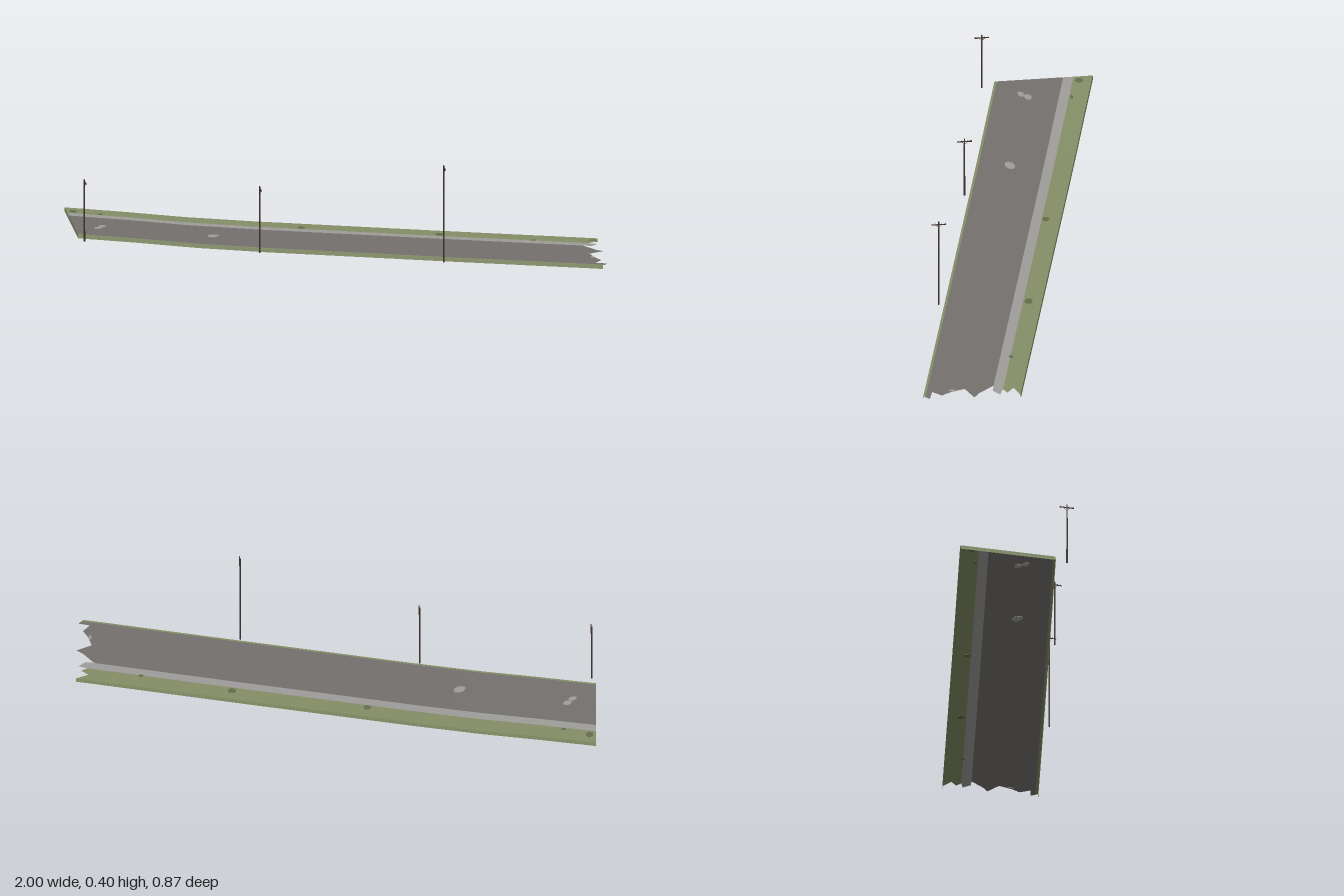
import * as THREE from 'three';

const mat = (name, color, side = THREE.FrontSide) => {
  const m = new THREE.MeshStandardMaterial({ color, side });
  m.name = name;
  return m;
};

// Road profile: [x, surface height], and plan layout of the slanting strip
const PROFILE = [[-1, 0.078], [-0.78, 0.067], [-0.55, 0.053], [-0.3, 0.044], [0, 0.037],
  [0.38, 0.028], [0.67, 0.022], [0.92, 0.017], [1, 0.015]];
const WIDTH = 0.38, SKIRT = 0.0145;
// Broken end: [position across the strip, x]
const TORN = [[0, 1], [0.09, 0.952], [0.14, 0.98], [0.195, 0.957], [0.21, 0.99], [0.295, 0.963],
  [0.3, 0.93], [0.43, 0.973], [0.47, 0.998], [0.59, 0.94], [0.71, 0.952], [0.81, 0.973],
  [0.92, 0.947], [0.925, 0.99], [0.975, 0.978], [1, 0.97]];

function lerpTable(table, t) {
  for (let i = 1; i < table.length; i++) {
    const [a, va] = table[i - 1], [b, vb] = table[i];
    if (t <= b) return va + (vb - va) * (t - a) / (b - a);
  }
  return table[table.length - 1][1];
}
const height = x => lerpTable(PROFILE, x);
const backEdge = x => -0.44 + 0.246 * (x + 1);
const point = (x, s, drop = 0) => [x, height(x) - drop, backEdge(x) + WIDTH * s];

// Surface through equal-length rows of points
function loft(rows) {
  const n = rows[0].length, index = [];
  for (let i = 0; i < rows.length - 1; i++) {
    for (let j = 0; j < n - 1; j++) {
      const a = i * n + j, b = a + n;
      index.push(a, b, a + 1, a + 1, b, b + 1);
    }
  }
  const g = new THREE.BufferGeometry();
  g.setAttribute('position', new THREE.Float32BufferAttribute(rows.flat(2), 3));
  g.setIndex(index);
  g.computeVertexNormals();
  return g;
}

// Stations along the strip, finishing on the torn edge
const stations = s => [...PROFILE.slice(0, -2).map(p => p[0]), 0.92, lerpTable(TORN, s)];
function band(s0, s1) {
  const cuts = TORN.map(p => p[0]).filter(s => s >= s0 && s <= s1);
  return loft(cuts.map(s => stations(s).map(x => point(x, s))));
}
function skirt(s, flare) {
  const xs = stations(s);
  return loft([xs.map(x => point(x, s)), xs.map(x => point(x, s + flare, SKIRT))]);
}

export function createModel() {
  const model = new THREE.Group();
  const asphalt = mat('asphalt', 0x74706d, THREE.DoubleSide);
  const pavement = mat('pavement', 0x9d9c99, THREE.DoubleSide);
  const grass = mat('grass', 0x848e66, THREE.DoubleSide);
  const scrub = mat('scrub', 0x666d4c);
  const wood = mat('wood', 0x40302a);
  const metal = mat('metal', 0x77756f);

  const add = (parent, name, geometry, material, pos = [0, 0, 0]) => {
    const m = new THREE.Mesh(geometry, material);
    m.name = name;
    m.position.set(...pos);
    parent.add(m);
    return m;
  };

  // Ground bands from back to front
  add(model, 'grassVerge', band(0, 0.195), grass);
  add(model, 'sidewalk', band(0.195, 0.3), pavement);
  add(model, 'roadSurface', band(0.3, 0.975), asphalt);
  add(model, 'frontVerge', band(0.975, 1), grass);
  add(model, 'backSkirt', skirt(0, -0.004), grass);
  add(model, 'frontSkirt', skirt(1, 0.004), grass);
  // Edge wall at the unbroken end
  add(model, 'endSkirt', loft([[point(-1, 0), point(-1, 1)],
    [point(-1, 0, SKIRT), point(-1, 1, SKIRT)]]), grass);

  // Thin worn patches and scrub spots: x, z, radius along x, radius along z, turn
  const patch = (name, material, [x, z, rx, rz, turn]) => {
    const g = new THREE.CylinderGeometry(1, 1, 0.003, 9);
    g.scale(rx, 1, rz);
    g.rotateY(turn);
    const m = add(model, name, g, material, [x, height(x), z]);
    m.rotation.z = Math.atan2(height(x + 0.02) - height(x - 0.02), 0.04);
  };
  [[-0.89, -0.178, 0.018, 0.014, 0.5], [-0.91, -0.153, 0.018, 0.012, 0.5],
    [-0.475, -0.064, 0.026, 0.018, 0.5], [0.945, 0.31, 0.006, 0.014, 0]]
    .forEach(p => patch('roadPatch', pavement, p));
  [[-0.975, -0.385, 0.014, 0.016, 0], [-0.875, -0.345, 0.01, 0.006, 0], [-0.12, -0.165, 0.014, 0.014, 0],
    [0.4, -0.043, 0.016, 0.016, 0], [0.75, 0.062, 0.01, 0.007, 0]]
    .forEach(p => patch('scrubSpot', scrub, p));

  // Utility poles: x, z, top height
  for (const [x, z, top] of [[-0.983, -0.009, 0.312], [-0.322, 0.128, 0.298], [0.368, 0.301, 0.404]]) {
    const pole = new THREE.Group();
    pole.name = 'utilityPole';
    pole.position.set(x, 0, z);
    model.add(pole);
    const base = height(x) - 0.012, arm = top - 0.011;
    add(pole, 'post', new THREE.CylinderGeometry(0.0026, 0.0034, top - base, 8), wood, [0, (top + base) / 2, 0]);
    add(pole, 'crossArm', new THREE.BoxGeometry(0.003, 0.0035, 0.056), wood, [0.003, arm, 0]);
    for (const side of [-1, 1]) {
      const brace = add(pole, 'brace', new THREE.BoxGeometry(0.001, 0.0165, 0.0012), metal,
        [0.004, arm - 0.007, side * 0.006]);
      brace.rotation.x = side * 0.75;
      for (const d of [0.012, 0.025]) {
        add(pole, 'insulator', new THREE.CylinderGeometry(0.001, 0.0014, 0.004, 6), wood,
          [0.003, arm + 0.003, side * d]);
      }
    }
  }
  return model;
}
